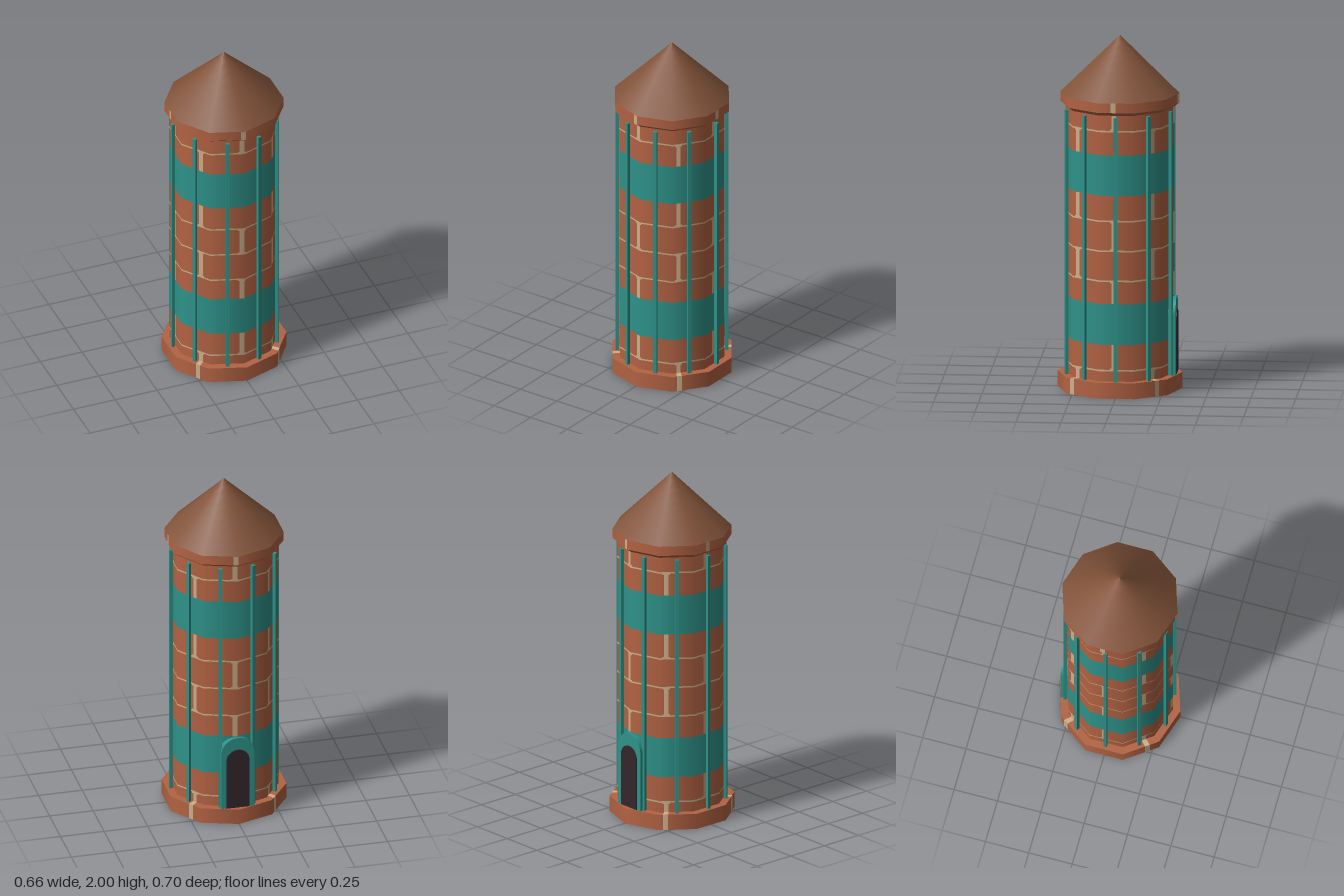
import * as THREE from 'three';

const SIDES = 10;
const STEP = (Math.PI * 2) / SIDES;
const DEG = Math.PI / 180;
const BODY_R = 0.305;

const paint = (name, color) => {
  const m = new THREE.MeshStandardMaterial({ color });
  m.name = name;
  return m;
};

export function createModel() {
  const terracotta = paint('terracotta', 0xb36343);
  const teal = paint('teal', 0x2e938a);
  const mortar = paint('mortar', 0xcdb08c);
  const roofBrown = paint('roofBrown', 0x82533a);
  const doorDark = paint('doorDark', 0x33262a);

  const tower = new THREE.Group();
  tower.name = 'tower';

  const add = (name, geometry, material, parent = tower) => {
    const mesh = new THREE.Mesh(geometry, material);
    mesh.name = name;
    parent.add(mesh);
    return mesh;
  };

  const group = (name) => {
    const g = new THREE.Group();
    g.name = name;
    tower.add(g);
    return g;
  };

  // Ten-sided ring or drum between two heights
  const drum = (name, rBottom, rTop, y0, y1, material, open = false, parent = tower) => {
    const g = new THREE.CylinderGeometry(rTop, rBottom, y1 - y0, SIDES, 1, open);
    g.translate(0, (y0 + y1) / 2, 0);
    return add(name, g, material, parent);
  };

  // Patch lying on the ten-sided surface, from (r0, y0) up or inward to (r1, y1)
  const patch = (r0, y0, r1, y1, a0, a1) => {
    const angles = [a0];
    for (let k = Math.ceil((a0 + 1e-4) / STEP); k * STEP < a1 - 1e-4; k++) angles.push(k * STEP);
    angles.push(a1);
    const pos = [], nor = [], idx = [];
    const up = y1 - y0 < 1e-5;
    angles.forEach((a, i) => {
      const local = a - Math.floor(a / STEP + 1e-6) * STEP - STEP / 2;
      const s = Math.cos(STEP / 2) / Math.cos(local);
      for (const [r, y] of [[r0, y0], [r1, y1]]) {
        pos.push(Math.sin(a) * r * s, y, Math.cos(a) * r * s);
        nor.push(up ? 0 : Math.sin(a), up ? 1 : 0, up ? 0 : Math.cos(a));
      }
      if (i) {
        const b = i * 2;
        idx.push(b - 2, b, b - 1, b, b + 1, b - 1);
      }
    });
    const g = new THREE.BufferGeometry();
    g.setAttribute('position', new THREE.Float32BufferAttribute(pos, 3));
    g.setAttribute('normal', new THREE.Float32BufferAttribute(nor, 3));
    g.setIndex(idx);
    return g;
  };

  // Plinth, rim and roof
  drum('plinth', 0.348, 0.348, 0, 0.09, terracotta);
  drum('rimUnderside', 0.305, 0.332, 1.6, 1.62, terracotta, true);
  drum('rim', 0.332, 0.332, 1.62, 1.675, terracotta, true);
  const roof = new THREE.ConeGeometry(0.332, 0.325, SIDES, 8);
  roof.translate(0, 1.8375, 0);
  add('roof', roof, roofBrown);

  // Wall in stacked brick and painted sections
  const levels = [0.09, 0.298, 0.53, 1.145, 1.375, 1.605];
  for (let i = 0; i < levels.length - 1; i++) {
    const painted = i % 2 === 1;
    drum(painted ? 'paintedBand' : 'brickWall', BODY_R, BODY_R, levels[i], levels[i + 1],
      painted ? teal : terracotta, true);
  }

  // Mortar: horizontal courses
  const joints = group('mortarJoints');
  for (const y of [0.152, 0.66, 0.83, 1.0, 1.51]) {
    drum('course', BODY_R + 0.001, BODY_R + 0.001, y - 0.0045, y + 0.0045, mortar, true, joints);
  }

  // Mortar: upright joints, four per row, alternate rows turned by 45 degrees
  const upright = (r, y0, y1, turn, flareBottom, flareTop) => {
    for (let k = 0; k < 4; k++) {
      const a1 = (k * 90 + turn) * DEG, a0 = a1 - 4.8 * DEG, f = 1.5 * DEG;
      add('joint', patch(r, y0, r, y1, a0, a1), mortar, joints);
      if (flareBottom) add('jointFoot', patch(r, y0, r, y0 + 0.012, a0 - f, a1 + f), mortar, joints);
      if (flareTop) add('jointHead', patch(r, y1 - 0.012, r, y1, a0 - f, a1 + f), mortar, joints);
    }
  };
  const R = BODY_R + 0.0015;
  upright(R, 0.152, 0.298, 0, true, false);
  upright(R, 0.53, 0.66, 0, false, true);
  upright(R, 0.83, 1.0, 0, true, true);
  upright(R, 1.51, 1.6, 0, true, false);
  upright(R, 0.09, 0.152, 45, false, true);
  upright(R, 0.66, 0.83, 45, true, true);
  upright(R, 1.0, 1.145, 45, true, false);
  upright(R, 1.375, 1.51, 45, false, true);
  upright(0.333, 1.62, 1.675, 0, false, false);
  upright(0.349, 0, 0.09, 45, false, false);
  for (let k = 0; k < 4; k++) {
    const a = (k * 90 + 45) * DEG;
    add('plinthJoint', patch(0.349, 0.091, 0.304, 0.091, a - 4.8 * DEG, a), mortar, joints);
  }

  // Slim posts standing just off the middle of each side
  const posts = group('posts');
  const postGeometry = new THREE.BoxGeometry(0.02, 1.5, 0.018);
  for (let i = 0; i < SIDES; i++) {
    const a = (i + 0.5) * STEP;
    const post = add('post', postGeometry, teal, posts);
    post.position.set(Math.sin(a) * BODY_R, 0.84, Math.cos(a) * BODY_R);
    post.rotation.y = a;
  }

  // Arched doorway at the back
  const arch = (half, top, depth) => {
    const s = new THREE.Shape();
    s.moveTo(-half, 0.09);
    s.lineTo(half, 0.09);
    s.lineTo(half, top - half);
    s.absarc(0, top - half, half, 0, Math.PI, false);
    s.closePath();
    return new THREE.ExtrudeGeometry(s, { depth, bevelEnabled: false, curveSegments: 16 });
  };
  const doorway = group('doorway');
  doorway.rotation.y = Math.PI;
  add('doorFrame', arch(0.094, 0.525, 0.047), teal, doorway).position.z = 0.27;
  add('door', arch(0.065, 0.452, 0.005), doorDark, doorway).position.z = 0.316;

  return tower;
}
